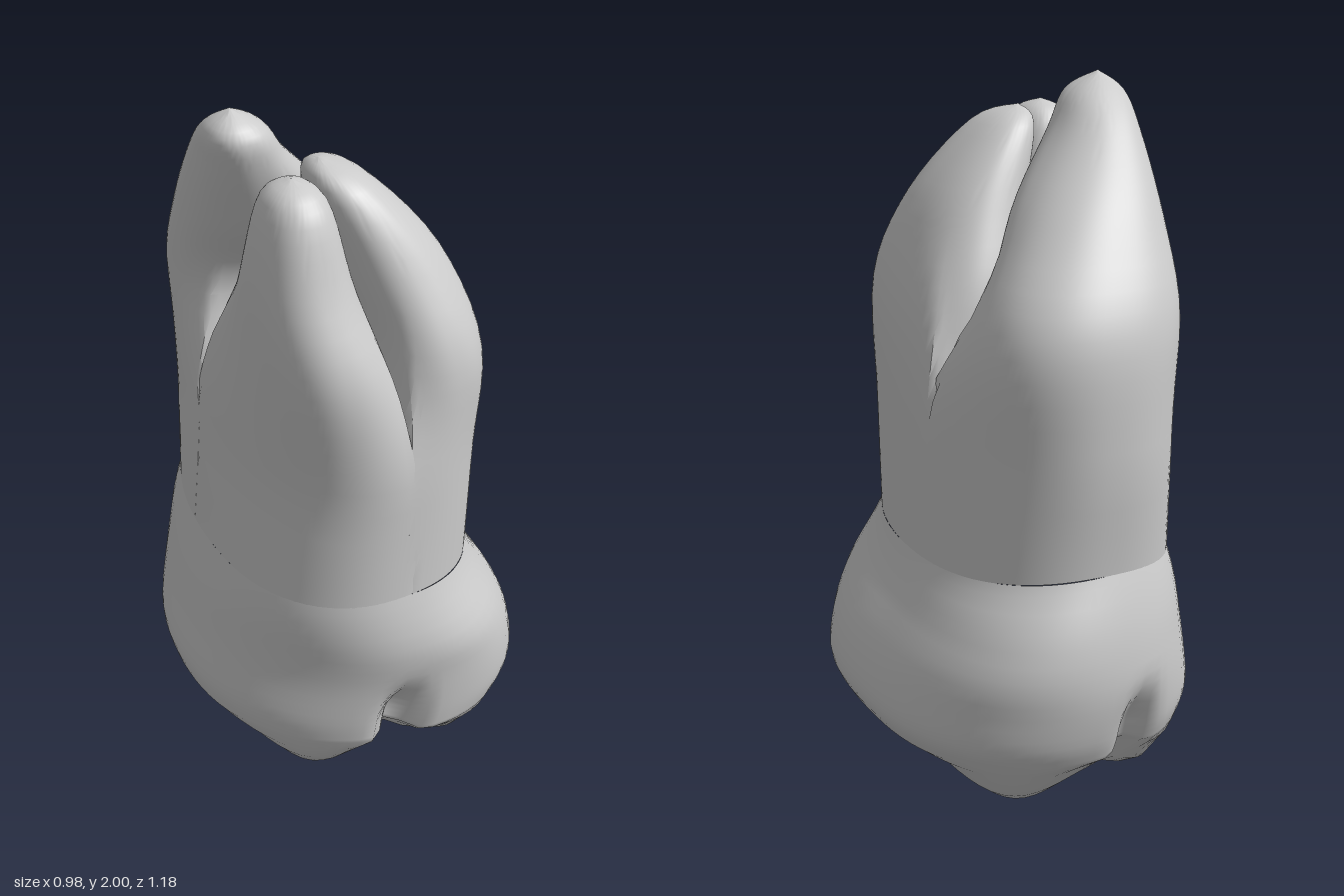
import * as THREE from 'three';
import { mergeVertices, toCreasedNormals } from 'three/addons/utils/BufferGeometryUtils.js';

const SIDES = 80;
const { smoothstep, lerp } = THREE.MathUtils;
const material = new THREE.MeshStandardMaterial({ color: 0xcccccc });

// Skin a stack of closed rings, listed from bottom to top; point(ring, angle) gives [x, y, z].
function loft(rings, point) {
  const pos = [], index = [];
  rings.forEach((ring, j) => {
    for (let i = 0; i < SIDES; i++) {
      pos.push(...point(ring, (i / SIDES) * Math.PI * 2));
      if (j === rings.length - 1) continue;
      const a = j * SIDES + i, b = j * SIDES + (i + 1) % SIDES;
      index.push(a, a + SIDES, b, b, a + SIDES, b + SIDES);
    }
  });
  let geo = new THREE.BufferGeometry();
  geo.setAttribute('position', new THREE.Float32BufferAttribute(pos, 3));
  geo.setIndex(index);
  geo = mergeVertices(geo, 1e-4);
  geo.computeVertexNormals();
  return geo;
}

function part(name, geo) {
  const mesh = new THREE.Mesh(geo, material);
  mesh.name = name;
  return mesh;
}

// Rounded-square cross-section: ring = [y, centreX, centreZ, radiusX, radiusZ]
function oval([y, cx, cz, rx, rz], t) {
  const c = Math.cos(t), s = Math.sin(t);
  const k = (Math.abs(c) ** 2.3 + Math.abs(s) ** 2.3) ** (-1 / 2.3);
  return [cx + rx * k * c, y, cz + rz * k * s];
}

// Add in-between rings along a smooth curve
function smoothRings(rings, steps) {
  const out = [];
  const at = (i) => rings[Math.min(Math.max(i, 0), rings.length - 1)];
  for (let i = 0; i < rings.length - 1; i++) {
    for (let s = 0; s < steps; s++) {
      const u = s / steps;
      out.push(at(i).map((p1, k) => {
        const p0 = at(i - 1)[k], p2 = at(i + 1)[k], p3 = at(i + 2)[k];
        return p1 + 0.5 * u * (p2 - p0 + u * (2 * p0 - 5 * p1 + 4 * p2 - p3 + u * (3 * (p1 - p2) + p3 - p0)));
      }));
    }
  }
  out.push(at(rings.length));
  return out;
}

const neck = [0.72, -0.03, 0.02, 0.355, 0.525];
const neckLift = (t) => -0.025 * Math.cos(2 * t);
const lobe = (t, t0) => Math.max(0, Math.cos(t - t0)) ** 6;

// Chewing surface: four cusps and two side ridges around a central hollow, as [x, z, height]
const cusps = [[-0.23, 0.35, 0.225], [0.22, 0.37, 0.24], [0.15, -0.29, 0.24], [-0.23, -0.28, 0.215],
  [0.36, 0.03, 0.09], [-0.36, 0.03, 0.09]];
function biteHeight(x, z) {
  let y = 0.255;
  for (const [cx, cz, h] of cusps) y -= h * Math.exp(-((x - cx) ** 2 + (z - cz) ** 2) / 0.045);
  return Math.max(0.003, y);
}

function crown() {
  const rim = [0.2, -0.01, 0.01, 0.465, 0.535];
  // Chewing surface rings from the middle out, then the bulging sides
  const rings = [0, 0.12, 0.25, 0.38, 0.5, 0.62, 0.73, 0.83, 0.91, 0.97].map(
    (s) => [0, rim[1], rim[2], rim[3] * s, rim[4] * s, s]);
  const sides = [rim, [0.28, 0, 0, 0.487, 0.557], [0.42, 0, -0.005, 0.455, 0.575],
    [0.57, -0.025, 0.01, 0.4, 0.57], neck];
  rings.push(...smoothRings(sides, 4).map((r) => [...r, 1]));

  return loft(rings, (ring, t) => {
    let [x, y, z] = oval(ring, t);
    const low = 1 - smoothstep(y, 0.25, 0.46);
    const bulge = 1 - smoothstep(y, 0.5, 0.72);
    const shoulder = smoothstep(y, 0.35, 0.55) * (1 - smoothstep(y, 0.6, 0.72));
    const skew = 1 + bulge * (0.09 * lobe(t, 0.85) - 0.06 * lobe(t, 2.3) - 0.03 * lobe(t, 3.9))
      + 0.07 * shoulder * lobe(t, -0.785);
    x *= skew;
    z *= skew;
    // Grooves down the front and back faces
    const grooveX = z > 0 ? -0.04 : -0.1;
    const groove = Math.exp(-(((x - grooveX) / 0.045) ** 2)) * smoothstep(Math.abs(z), 0.25, 0.5);
    z *= 1 - 0.17 * low * groove;
    if (ring[5] < 1) y = lerp(biteHeight(x, z), 0.19, 0.7 * smoothstep(ring[5], 0.84, 1)) + 0.03 * groove;
    else y += neckLift(t) * smoothstep(y, 0.5, 0.72);
    return [x, y, z];
  });
}

// Whether a point lies within the undivided root base at height y
const base = [1.02, -0.015, 0, 0.335, 0.534];
function insideBase(x, y, z) {
  const k = Math.min(1, (y - neck[0]) / (base[0] - neck[0]));
  const [, cx, cz, rx, rz] = neck.map((v, i) => lerp(v, base[i], k));
  const u = (x - cx) / rx, v = (z - cz) / rz, t = Math.atan2(v, u);
  const skew = 1 + k * (0.03 * lobe(t, 0.785) + 0.03 * lobe(t, 3.93) - 0.04 * lobe(t, -0.785));
  return Math.abs(u) ** 2.3 + Math.abs(v) ** 2.3 < skew ** 2.3;
}

// A root fills its share of the base low down, then parts from the others into a tapering oval
function root({ share, rings }) {
  const geo = loft(smoothRings(rings, 5), (ring, t) => {
    const [px, y, pz] = oval(ring, t);
    const [, cx, cz] = ring;
    const dx = px - cx, dz = pz - cz;
    const w = smoothstep(y, 1.03, 1.6);
    let lo = 0, hi = 4;
    for (let n = 0; n < 22 && w < 1; n++) {
      const mid = (lo + hi) / 2, x = cx + dx * mid, z = cz + dz * mid;
      if (share(x, z) && insideBase(x, y, z)) lo = mid;
      else hi = mid;
    }
    const f = lerp(lo, 1, w), x = cx + dx * f, z = cz + dz * f;
    return [x, y + neckLift(Math.atan2(z / 0.53, x / 0.34)) * (1 - smoothstep(y, 0.72, 0.95)), z];
  });
  return toCreasedNormals(geo, 0.7);
}

// Shares overlap a little so that no seam opens between the roots
const roots = {
  backRoot: {
    share: (x, z) => z < -0.08,
    rings: [[0.72, -0.02, -0.27, 0.3, 0.25], [1.1, -0.015, -0.27, 0.3, 0.265], [1.4, -0.05, -0.305, 0.265, 0.2],
      [1.65, -0.125, -0.18, 0.2, 0.19], [1.85, -0.215, -0.06, 0.115, 0.14], [1.95, -0.25, 0, 0.075, 0.085],
      [2, -0.26, 0, 0, 0]],
  },
  frontRightRoot: {
    share: (x, z) => z > -0.12 && x < 0,
    rings: [[0.72, -0.18, 0.2, 0.16, 0.3], [1.1, -0.18, 0.22, 0.16, 0.29], [1.4, -0.18, 0.23, 0.155, 0.265],
      [1.65, -0.205, 0.24, 0.12, 0.165], [1.85, -0.21, 0.24, 0.075, 0.095], [1.9, -0.21, 0.23, 0, 0]],
  },
  frontLeftRoot: {
    share: (x, z) => z > -0.12 && x > -0.04,
    rings: [[0.72, 0.15, 0.2, 0.17, 0.3], [1.1, 0.15, 0.21, 0.165, 0.3], [1.4, 0.125, 0.205, 0.155, 0.3],
      [1.65, 0.05, 0.195, 0.14, 0.215], [1.85, -0.06, 0.18, 0.075, 0.115], [1.9, -0.1, 0.16, 0, 0]],
  },
};

export function createModel() {
  const tooth = new THREE.Group();
  tooth.name = 'molarTooth';
  tooth.add(part('crown', crown()));
  for (const [name, spec] of Object.entries(roots)) tooth.add(part(name, root(spec)));
  return tooth;
}
